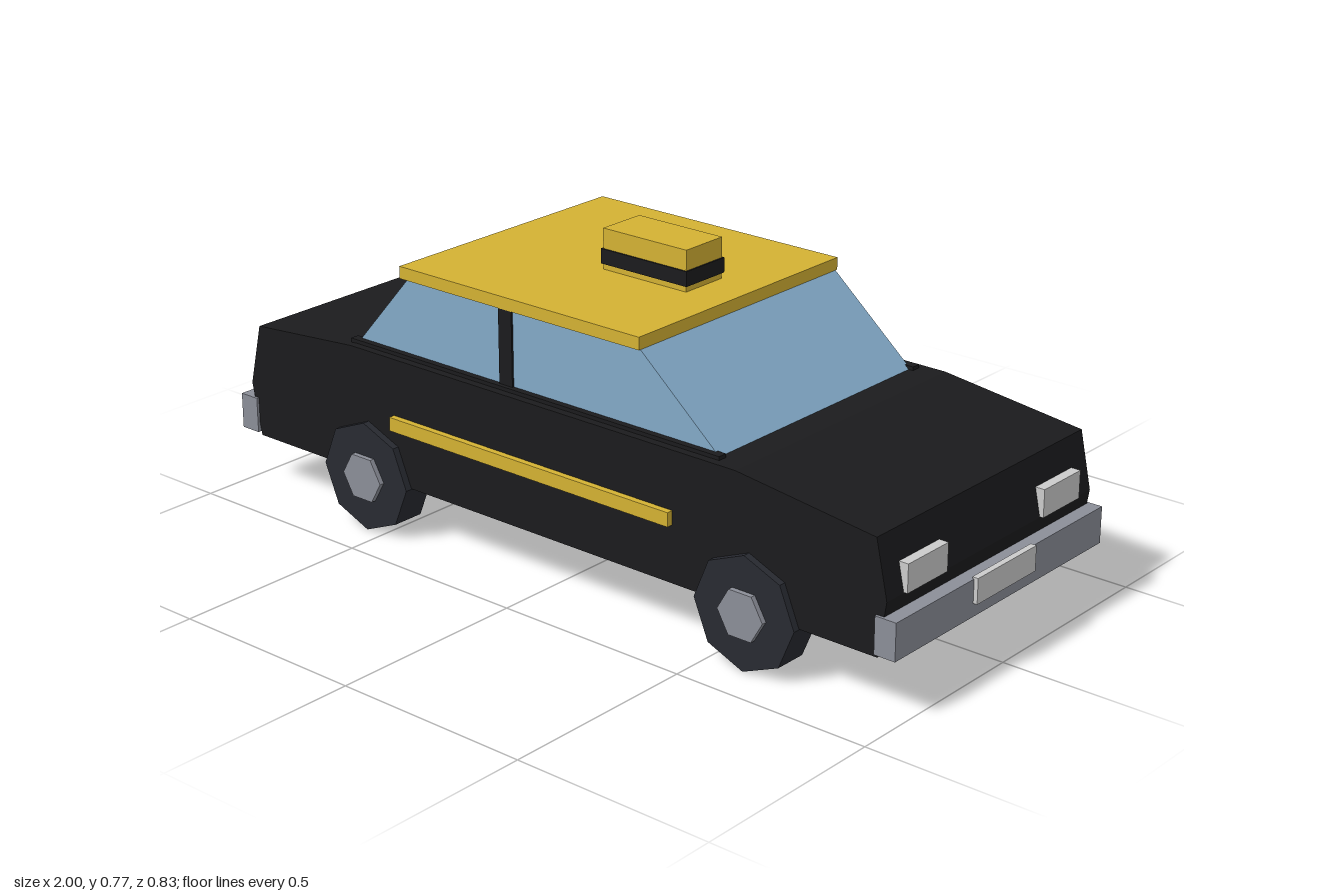
import * as THREE from 'three';

const COLORS = {
  black: 0x1b1b1d, yellow: 0xd4b233, glass: 0x82a9c7, tyre: 0x282a31,
  metal: 0x8b8e98, lamp: 0xbcbcbc, red: 0xc42c22,
};

export function createModel() {
  const car = new THREE.Group();
  car.name = 'taxi';

  const mats = {};
  for (const key in COLORS) {
    mats[key] = new THREE.MeshStandardMaterial({ color: COLORS[key], flatShading: true });
  }

  function add(name, geometry, mat, parent = car) {
    const mesh = new THREE.Mesh(geometry, mats[mat]);
    mesh.name = name;
    parent.add(mesh);
    return mesh;
  }

  // Box given by its minimum and maximum on each axis
  function box(name, mat, [x0, x1], [y0, y1], [z0, z1]) {
    const g = new THREE.BoxGeometry(x1 - x0, y1 - y0, z1 - z0);
    g.translate((x0 + x1) / 2, (y0 + y1) / 2, (z0 + z1) / 2);
    return add(name, g, mat);
  }

  // Side profile extruded across the full width
  function slab(name, mat, points, halfWidth) {
    const shape = new THREE.Shape(points.map(([x, y]) => new THREE.Vector2(x, y)));
    const g = new THREE.ExtrudeGeometry(shape, { depth: halfWidth * 2, bevelEnabled: false });
    g.translate(0, 0, -halfWidth);
    return add(name, g, mat);
  }

  // Lower body with sloping bonnet and boot
  slab('body', 'black', [
    [-0.93, 0.138], [0.94, 0.138], [0.96, 0.27], [0.93, 0.407],
    [0.56, 0.452], [-0.6, 0.452], [-0.92, 0.425], [-0.957, 0.27],
  ], 0.383);

  // Glasshouse and roof
  slab('windows', 'glass', [[-0.61, 0.45], [0.49, 0.45], [0.265, 0.643], [-0.44, 0.643]], 0.347);
  box('roof', 'yellow', [-0.46, 0.267], [0.642, 0.672], [-0.353, 0.353]);

  // Roof sign with a dark band
  box('roofSign', 'yellow', [-0.09, 0.157], [0.67, 0.771], [-0.063, 0.063]);
  box('roofSignBand', 'black', [-0.094, 0.161], [0.686, 0.722], [-0.067, 0.067]);

  // Trim, lamps and wheels on both sides
  for (const s of [1, -1]) {
    const span = (a, b) => (s > 0 ? [a, b] : [-b, -a]);
    box('beltTrim', 'black', [-0.62, 0.5], [0.445, 0.461], span(0.34, 0.363));
    box('doorPillar', 'black', [-0.15, -0.11], [0.45, 0.643], span(0.335, 0.352));
    box('sideStripe', 'yellow', [-0.463, 0.387], [0.277, 0.311], span(0.375, 0.399));
    box('headlight', 'lamp', [0.92, 0.969], [0.271, 0.338], span(0.181, 0.324));
    box('tailLight', 'red', [-0.985, -0.93], [0.285, 0.345], span(0.185, 0.308));

    for (const x of [-0.55, 0.6]) {
      const wheel = new THREE.Group();
      wheel.name = x > 0 ? 'frontWheel' : 'rearWheel';
      wheel.position.set(x, 0.137, s * 0.359);
      car.add(wheel);
      // Eight-sided tyre standing on a corner
      const tyre = new THREE.CylinderGeometry(0.137, 0.137, 0.083, 8);
      add('tyre', tyre.rotateX(Math.PI / 2), 'tyre', wheel);
      // Six-sided hub with corners to front and back
      const hub = new THREE.CylinderGeometry(0.062, 0.062, 0.09, 6, 1, false, Math.PI / 6);
      hub.rotateX(Math.PI / 2).translate(0, 0, s * 0.009);
      add('hub', hub, 'metal', wheel);
    }
  }

  // Bumpers and blank number plates
  box('frontBumper', 'metal', [0.936, 0.99], [0.146, 0.235], [-0.39, 0.39]);
  box('rearBumper', 'metal', [-0.99, -0.936], [0.146, 0.235], [-0.39, 0.39]);
  box('frontPlate', 'lamp', [0.985, 1], [0.178, 0.239], [-0.111, 0.111]);
  box('rearPlate', 'lamp', [-1, -0.985], [0.178, 0.239], [-0.111, 0.111]);

  return car;
}
